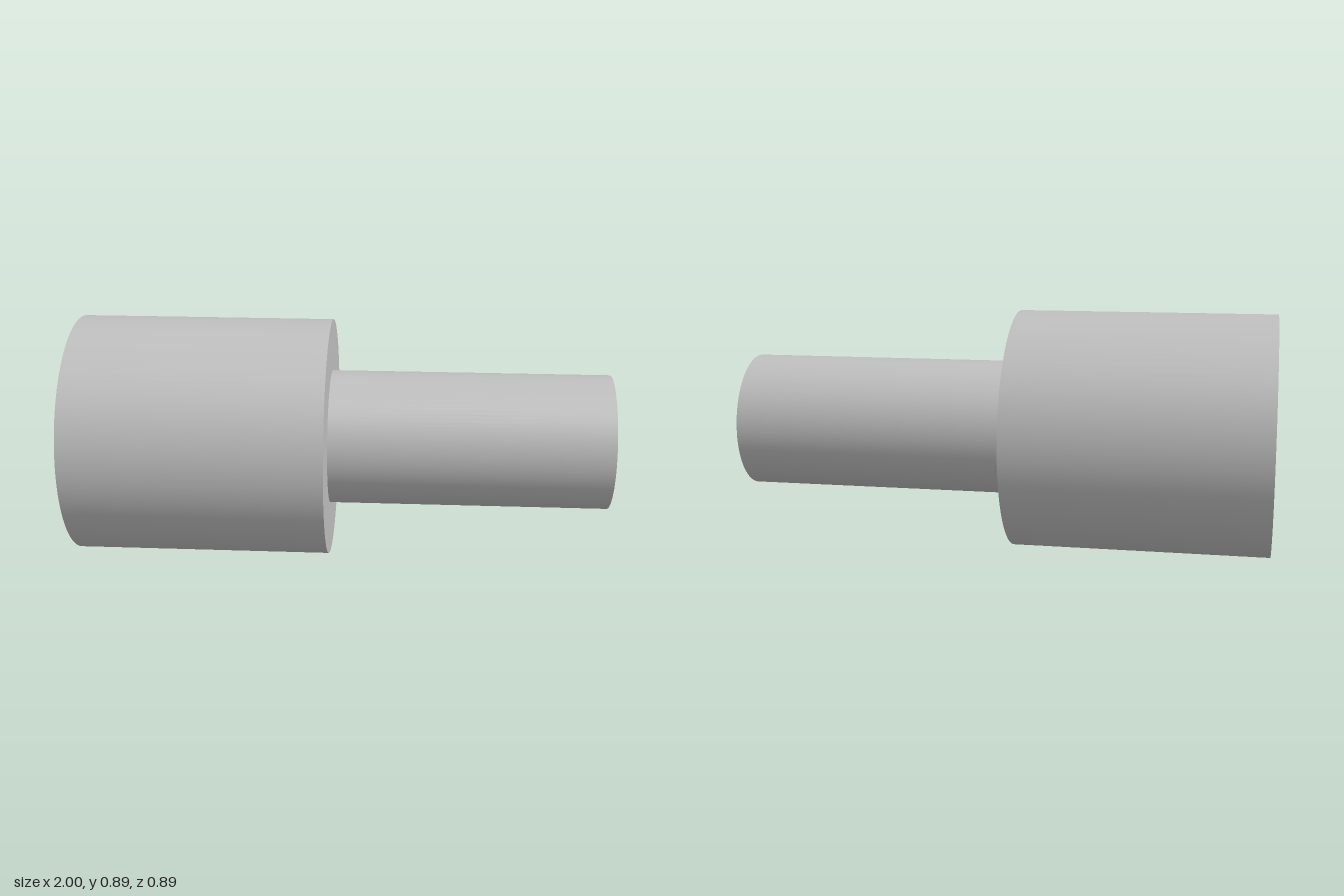
import * as THREE from 'three';

const R = 0.447, SHAFT = 0.253, BORE = 0.18; // radii
const BACK = -1, STEP = -0.047, TIP = 1;     // positions along x
const SIDES = 96;

export function createModel() {
  const group = new THREE.Group();
  group.name = 'steppedShaft';
  const steel = new THREE.MeshStandardMaterial({ color: 0xbfbfbf });
  steel.name = 'steel grey';

  // One turned surface per profile segment keeps the edges between them sharp
  const turned = (name, ...profile) => {
    const part = new THREE.Group();
    part.name = name;
    for (let i = 0; i < profile.length - 1; i++) {
      const points = [profile[i], profile[i + 1]].map(([r, x]) => new THREE.Vector2(r, x));
      const geometry = new THREE.LatheGeometry(points, SIDES);
      geometry.rotateZ(-Math.PI / 2); // lathe axis to +x
      const mesh = new THREE.Mesh(geometry, steel);
      mesh.name = name + 'Surface';
      part.add(mesh);
    }
    part.position.y = R;
    group.add(part);
  };

  // Blind hole in the wide end, floor to rim
  turned('bore', [0, STEP], [BORE, STEP], [BORE, BACK]);
  // Wide body: end ring, side wall, shoulder
  turned('body', [BORE, BACK], [R, BACK], [R, STEP], [SHAFT, STEP]);
  // Narrow shaft: side wall and end face
  turned('shaft', [SHAFT, STEP], [SHAFT, TIP], [0, TIP]);

  return group;
}
